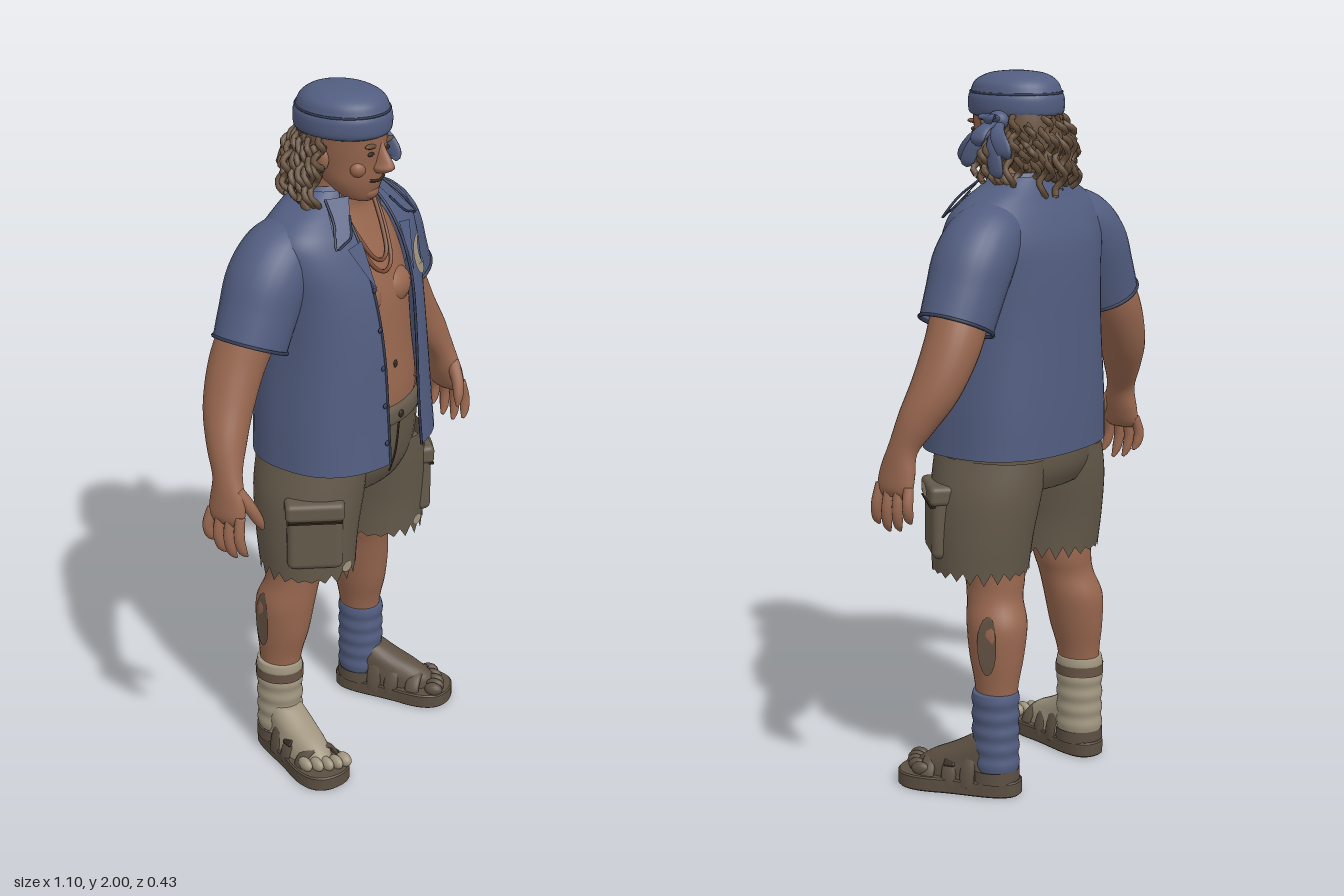
import * as THREE from 'three';
import { RoundedBoxGeometry } from 'three/addons/geometries/RoundedBoxGeometry.js';
import { mergeGeometries } from 'three/addons/utils/BufferGeometryUtils.js';

const V = (x, y, z) => new THREE.Vector3(x, y, z);
const mat = (name, color) => new THREE.MeshStandardMaterial({ name, color, side: THREE.DoubleSide });

// smooth interpolation of cross-sections [x, y, z, rx, rz, gap]
function resample(secs, sub = 5) {
  const out = [], at = i => secs[Math.max(0, Math.min(secs.length - 1, i))];
  for (let i = 0; i < secs.length - 1; i++) for (let k = 0; k < sub; k++) {
    const t = k / sub, [a, b, c, d] = [at(i - 1), at(i), at(i + 1), at(i + 2)];
    out.push(b.map((_, j) => b[j] + 0.5 * t * (c[j] - a[j] + t * (2 * a[j] - 5 * b[j] + 4 * c[j] - d[j] + t * (3 * (b[j] - c[j]) + d[j] - a[j])))));
  }
  out.push(secs[secs.length - 1].slice());
  return out;
}

// skin over cross-sections: level rings (listed upwards) or rings square to the path
function loft(secs, { n = 28, p = 1, sub = 5, level = true, cap = true, jag = 0 } = {}) {
  const rows = resample(secs, sub), pos = [], idx = [], open = secs[0].length > 5;
  const cols = open ? n + 1 : n, pw = v => Math.sign(v) * Math.abs(v) ** p;
  rows.forEach((r, i) => {
    const a = rows[Math.max(0, i - 1)], b = rows[Math.min(rows.length - 1, i + 1)];
    const t = level ? V(0, 1, 0) : V(b[0] - a[0], b[1] - a[1], b[2] - a[2]).normalize();
    const u = t.clone().cross(V(0, 0, 1)).normalize(), v = u.clone().cross(t);
    let t0 = 0, t1 = Math.PI * 2;
    if (open) { const g = Math.acos(Math.min(1, (r[5] / r[3]) ** (1 / p))); t0 = Math.PI - g; t1 += g; }
    for (let j = 0; j < cols; j++) {
      const th = t0 + (t1 - t0) * j / n, q = V(r[0], r[1], r[2]);
      q.addScaledVector(u, Math.max(0.001, r[3]) * pw(Math.cos(th))).addScaledVector(v, Math.max(0.001, r[4]) * pw(Math.sin(th)));
      if (jag && i === 0) q.y += jag * ((j % 2 ? -1 : 0.7) + 0.6 * Math.sin(j * 2.7));
      pos.push(q.x, q.y, q.z);
    }
  });
  const end = (rows.length - 1) * cols;
  for (let i = 0; i < rows.length - 1; i++) for (let j = 0; j < n; j++) {
    const a = i * cols + j, b = i * cols + (j + 1) % cols;
    idx.push(a, a + cols, b, b, a + cols, b + cols);
  }
  if (cap && !open) {
    const k = pos.length / 3, l = rows[rows.length - 1];
    pos.push(...rows[0].slice(0, 3), ...l.slice(0, 3));
    for (let j = 0; j < n; j++) { const m = (j + 1) % n; idx.push(k, j, m, k + 1, end + m, end + j); }
  }
  const g = new THREE.BufferGeometry();
  g.setAttribute('position', new THREE.Float32BufferAttribute(pos, 3));
  g.setIndex(idx);
  g.computeVertexNormals();
  return g;
}

// front surface depth of a level loft at (x, y)
function frontZ(secs, p, x, y) {
  const rows = resample(secs, 5);
  let i = 0;
  while (i < rows.length - 2 && rows[i + 1][1] < y) i++;
  const a = rows[i], b = rows[i + 1], t = (y - a[1]) / (b[1] - a[1]), m = k => a[k] + (b[k] - a[k]) * t;
  return m(2) + m(4) * Math.max(0, 1 - Math.min(1, Math.abs(x / m(3))) ** (2 / p)) ** (p / 2);
}

// flat outline laid onto a surface by a rule
function drape(pts, rule) {
  const g = new THREE.ShapeGeometry(new THREE.Shape(pts.map(q => new THREE.Vector2(q[0], q[1]))));
  const P = g.attributes.position;
  for (let i = 0; i < P.count; i++) { const q = rule(P.getX(i), P.getY(i)); P.setXYZ(i, q.x, q.y, q.z); }
  g.computeVertexNormals();
  return g;
}
const oval = (cx, cy, rx, ry) => Array.from({ length: 18 }, (_, i) => [cx + rx * Math.cos(i * Math.PI / 9), cy + ry * Math.sin(i * Math.PI / 9)]);
const tube = (pts, r, seg = 24) => new THREE.TubeGeometry(new THREE.CatmullRomCurve3(pts), seg, r, 6);

export function createModel() {
  const root = new THREE.Group();
  root.name = 'man';
  const skin = mat('skin', 0x98674f), blue = mat('blueCloth', 0x525d80), navy = mat('darkBlueSeam', 0x353c55),
    shorts = mat('shortsBrown', 0x655a4b), sandal = mat('sandalBrown', 0x5c4f42), beige = mat('beigeCloth', 0xa0957f),
    hair = mat('hairBrown', 0x654f3b), dark = mat('dark', 0x33281f), bead = mat('beadBrown', 0x7b4c34), scar = mat('calfMark', 0x665445);
  const add = (name, geo, m, parent = root) => {
    const o = new THREE.Mesh(geo, m);
    o.name = name;
    parent.add(o);
    return o;
  };
  const ball = (name, m, x, y, z, rx, ry, rz, parent) => {
    const o = add(name, new THREE.SphereGeometry(1, 18, 12), m, parent);
    o.position.set(x, y, z);
    o.scale.set(rx, ry, rz);
    return o;
  };
  let seed = 7;
  const rnd = () => (seed = (seed * 16807) % 2147483647) / 2147483647;

  // bare torso and neck
  const body = [[0, 1, -.01, .22, .175], [0, 1.13, -.01, .23, .19], [0, 1.28, -.015, .22, .18], [0, 1.42, -.02, .22, .168],
    [0, 1.52, -.03, .21, .148], [0, 1.6, -.035, .18, .115], [0, 1.66, -.03, .12, .085], [0, 1.7, -.02, .085, .075], [0, 1.8, -.01, .07, .075]];
  add('torso', loft(body, { n: 40 }), skin);
  for (const s of [1, -1]) ball('pectoral', skin, s * .068, 1.43, .095, .072, .06, .058);
  ball('navel', dark, 0, 1.235, frontZ(body, 1, 0, 1.235), .008, .012, .004);
  for (const [w, y] of [[.085, 1.5], [.07, 1.53]]) {
    const pts = [-1, -.93, -.75, -.4, 0, .4, .75, .93, 1].map(k => {
      const x = k * w, yy = y + (1.675 - y) * Math.abs(k) ** 2.6;
      return V(x, yy, frontZ(body, 1, x, yy) + .01);
    });
    add('necklace', tube(pts, .006, 40), bead);
  }

  // open shirt
  const shirt = [[0, .97, -.003, .277, .217, .075], [0, 1.1, -.008, .268, .212, .072], [0, 1.3, -.012, .25, .203, .075],
    [0, 1.45, -.02, .25, .19, .085], [0, 1.55, -.03, .265, .168, .088], [0, 1.62, -.035, .26, .138, .085],
    [0, 1.665, -.04, .215, .11, .08], [0, 1.7, -.045, .15, .09, .07], [0, 1.725, -.045, .11, .08, .06]];
  const P = .82, onShirt = (x, y) => V(x, y, frontZ(shirt, P, x, y) + .007);
  add('shirtBody', loft(shirt, { n: 56, p: P }), blue);
  add('collarBand', loft([[0, 1.675, -.045, .15, .1, .075], [0, 1.7, -.045, .125, .092, .07], [0, 1.735, -.045, .1, .08, .06]], { n: 32 }), blue);
  const rows = resample(shirt);
  for (const s of [1, -1]) {
    add('shirtFrontEdge', tube(rows.filter((_, i) => i % 3 === 0).map(r => V(s * r[5], r[1], frontZ(shirt, P, r[5], r[1]))), .004, 40), navy);
    add('collarFlap', drape([[s * .06, 1.71], [s * .12, 1.71], [s * .18, 1.605], [s * .125, 1.625]], (x, y) => onShirt(x, y).add(V(0, .004, .014))), blue);
    add('collarEdge', tube([[.12, 1.71], [.15, 1.66], [.18, 1.605], [.152, 1.615], [.125, 1.625], [.09, 1.67]].map(q => onShirt(s * q[0], q[1]).add(V(0, .004, .014))), .0035), navy);
    add('lapel', drape([[s * .085, 1.61], [s * .14, 1.6], [s * .085, 1.48]], (x, y) => onShirt(x, y).add(V(0, 0, .005))), blue);
    // sleeve
    const end = [s * .335, 1.352, -.066, .104, .1];
    add('sleeve', loft([[s * .13, 1.61, -.06, .06, .08], [s * .2, 1.575, -.062, .095, .105], [s * .26, 1.51, -.065, .108, .112],
      [s * .3, 1.43, -.066, .106, .106], end], { level: false, cap: false }), blue);
    const hem = add('sleeveHem', new THREE.TorusGeometry(.102, .005, 6, 32), navy);
    hem.position.set(end[0], end[1], end[2]);
    hem.rotation.set(Math.PI / 2, s * .48, 0, 'ZYX');
    hem.quaternion.setFromUnitVectors(V(0, 0, 1), V(s * .42, -.91, 0).normalize());
    // arm
    add('arm', loft([[s * .25, 1.52, -.065, .08, .08], [s * .325, 1.39, -.075, .078, .08], [s * .375, 1.3, -.082, .073, .078],
      [s * .428, 1.2, -.07, .064, .07], [s * .472, 1.115, -.042, .053, .054], [s * .5, 1.045, -.018, .036, .043],
      [s * .513, .98, -.008, .03, .056], [s * .522, .935, -.006, .024, .058], [s * .526, .915, -.006, .012, .045]], { level: false }), skin);
    // fingers and thumb
    for (let f = 0; f < 4; f++) {
      const z = .042 - f * .032, l = [.88, 1, .95, .75][f], x = .524;
      add('finger', loft([[s * x, .945, z, .014, .014], [s * (x + .012), .945 - .06 * l, z * 1.12, .015, .015],
        [s * (x + .006), .945 - .105 * l, z * 1.15 + .004, .013, .013], [s * (x - .008), .945 - .13 * l, z * 1.15 + .008, .004, .005]], { n: 12, level: false }), skin);
    }
    add('thumb', loft([[s * .508, 1.01, .02, .018, .02], [s * .49, .96, .052, .017, .018], [s * .474, .92, .066, .014, .014], [s * .464, .893, .07, .004, .004]], { n: 12, level: false }), skin);
  }
  // crescent patch and buttons
  const moon = [];
  for (let a = 50; a <= 310; a += 13) moon.push([.053 * Math.cos(a * Math.PI / 180), .053 * Math.sin(a * Math.PI / 180)]);
  for (let a = 285; a >= 75; a -= 15) moon.push([.027 + .041 * Math.cos(a * Math.PI / 180), .041 * Math.sin(a * Math.PI / 180)]);
  add('crescentPatch', drape(moon.map(([x, y]) => [.162 + x * .95 - y * .3, 1.5 + y * .95 + x * .3]), onShirt), beige);
  for (let y = 1.04; y < 1.5; y += .11) ball('button', navy, -.09, y, onShirt(-.09, y).z, .008, .008, .004);

  // shorts
  const hips = [[0, .865, -.02, .225, .15], [0, .92, -.02, .25, .178], [0, 1, -.015, .252, .19], [0, 1.11, -.008, .24, .192]];
  add('shortsHips', loft(hips, { n: 40 }), shorts);
  add('waistband', loft([[0, 1.065, -.008, .245, .196], [0, 1.08, -.008, .248, .199], [0, 1.105, -.008, .246, .197], [0, 1.118, -.008, .236, .187]], { n: 40, cap: false }), shorts);
  ball('waistButton', dark, 0, 1.09, .192, .011, .011, .005);
  add('fly', tube([1.06, 1, .95, .9].map(y => V(.004, y, frontZ(hips, 1, 0, y))), .0035), dark);
  for (const s of [1, -1]) {
    const leg = [[s * .165, .64, -.01, .132, .138], [s * .163, .74, -.014, .134, .15], [s * .148, .86, -.018, .138, .165], [s * .13, .96, -.018, .125, .172]];
    add('shortsLeg', loft(leg, { n: 44, jag: .014, cap: false }), shorts);
    const pocket = new THREE.Group();
    pocket.name = 'cargoPocket';
    pocket.position.set(s * .243, .775, .075);
    pocket.rotation.set(0, s * .85, 0);
    root.add(pocket);
    add('pocketBag', new RoundedBoxGeometry(.155, .19, .06, 3, .02), shorts, pocket);
    add('pocketFlap', new RoundedBoxGeometry(.165, .055, .075, 3, .015), shorts, pocket).position.y = .085;
    add('flapSeam', new THREE.BoxGeometry(.15, .005, .072), dark, pocket).position.y = .056;
    if (s > 0) add('pocketPatch', drape(oval(-.01, .088, .045, .02), (x, y) => V(x, y, .0395)), beige, pocket);
    add('hemPatch', drape(oval(s * .17, .665, .022, .016), (x, y) => V(x, y, -.01 + .141 * Math.sqrt(1 - ((x - s * .165) / .132) ** 2) + .004)), beige);

    // bare leg with calf mark
    const shin = [[s * .2, .14, -.09, .05, .055], [s * .195, .3, -.09, .055, .062], [s * .188, .4, -.085, .07, .08], [s * .18, .49, -.08, .08, .088],
      [s * .167, .56, -.063, .077, .08], [s * .157, .62, -.055, .084, .085], [s * .157, .74, -.035, .1, .1]];
    add('leg', loft(shin), skin);
    const outer = resample(shin);
    add('calfMark', drape(oval(-.105, .445, .028, .085), (z, y) => {
      const r = outer.reduce((m, q) => Math.abs(q[1] - y) < Math.abs(m[1] - y) ? q : m);
      return V(r[0] + s * (r[3] * Math.sqrt(Math.max(0, 1 - ((z - r[2]) / r[4]) ** 2)) + .006), y, z);
    }), scar);

    // sock with folds
    const cloth = s > 0 ? blue : beige, folds = [];
    for (let i = 0; i <= 10; i++) folds.push([s * .2, .07 + i * .023, -.09, .06 + (i % 2) * .004, .066 + (i % 2) * .004]);
    add('sock', loft(folds, { sub: 3 }), cloth);
    if (s < 0) add('sockStripe', loft([[-.2, .245, -.09, .066, .072], [-.2, .275, -.09, .066, .072]], { cap: false }), scar);

    // foot and sandal
    const foot = new THREE.Group();
    foot.name = 'foot';
    foot.position.set(s * .232, 0, .008);
    foot.rotation.y = s * .3;
    root.add(foot);
    const sole = new THREE.Shape();
    sole.moveTo(0, -.175);
    sole.bezierCurveTo(.075, -.175, .055, -.06, .07, .04);
    sole.bezierCurveTo(.09, .14, .06, .182, 0, .182);
    sole.bezierCurveTo(-.06, .182, -.09, .14, -.07, .04);
    sole.bezierCurveTo(-.055, -.06, -.075, -.175, 0, -.175);
    const sg = new THREE.ExtrudeGeometry(sole, { depth: .036, bevelEnabled: true, bevelThickness: .004, bevelSize: .004, bevelSegments: 1, curveSegments: 14 });
    add('sole', sg.rotateX(Math.PI / 2).translate(0, .04, 0), sandal, foot);
    add('footTop', loft([[0, .035, -.01, .062, .15], [0, .07, -.015, .06, .145], [0, .1, -.03, .055, .12], [0, .13, -.06, .052, .085], [0, .16, -.085, .045, .055]]), s > 0 ? sandal : beige, foot);
    for (let k = 0; k < 5; k++) ball('toe', s > 0 ? sandal : beige, s * (k * .026 - .05), .058, .148 - k * k * .0028, k ? .015 : .019, .02, .028, foot);
    for (const [z, r, h] of [[.082, .066, .088], [.015, .066, .113], [-.04, .064, .138]]) {
      const strap = add('strap', new THREE.TorusGeometry(1, .11, 8, 24, Math.PI), sandal, foot);
      strap.scale.set(r, h - .025, .2);
      strap.position.set(0, .025, z);
    }
    const buckle = add('buckle', new RoundedBoxGeometry(.035, .02, .034, 2, .005), dark, foot);
    buckle.position.set(s * .045, .088, .015);
    buckle.rotation.z = -s * .8;
    add('heelStrap', loft([[0, .04, -.1, .068, .072], [0, .075, -.1, .067, .071]], { cap: false }), sandal, foot);
  }

  // head and face
  const hx = -.008;
  const head = [[hx, 1.695, .06, .025, .03], [hx, 1.71, .045, .052, .055], [hx, 1.75, .025, .075, .088], [hx, 1.8, .012, .083, .108],
    [hx, 1.86, .003, .09, .125], [hx, 1.91, 0, .09, .125], [hx, 1.96, 0, .06, .08]];
  add('head', loft(head), skin);
  const faceZ = (x, y) => frontZ(head.map(r => [0, ...r.slice(1)]), 1, x, y);
  add('nose', loft([[hx, 1.782, .122, .016, .02], [hx, 1.795, .128, .024, .035], [hx, 1.812, .126, .018, .034], [hx, 1.845, .118, .012, .02], [hx, 1.87, .113, .01, .014]], { n: 16 }), skin);
  ball('chin', skin, hx, 1.722, .083, .032, .024, .026);
  for (const s of [1, -1]) {
    ball('cheek', skin, hx + s * .046, 1.795, .082, .026, .024, .022);
    ball('ear', skin, hx + s * .09, 1.815, -.005, .014, .032, .022);
    ball('eye', dark, hx + s * .035, 1.838, faceZ(.035, 1.838), .014, .006, .005);
    ball('brow', hair, hx + s * .037, 1.86, faceZ(.037, 1.86), .024, .007, .009).rotation.z = s * .1;
  }
  add('mouth', tube([-.03, 0, .03].map(x => V(hx + x, 1.757 + Math.abs(x) * .15, faceZ(x, 1.757) + .003)), .004), dark);

  // knotted headscarf
  add('headscarf', loft([[-.012, 1.878, 0, .1, .122], [-.012, 1.89, 0, .118, .137], [-.012, 1.925, 0, .12, .139], [-.012, 1.945, 0, .113, .132],
    [-.012, 1.972, 0, .102, .118], [-.012, 1.992, -.003, .07, .082], [-.012, 2, -.005, .02, .025]], { n: 36 }), blue);
  const fold = add('scarfFold', new THREE.TorusGeometry(1, .03, 6, 40), navy);
  fold.scale.set(.113, .132, .12);
  fold.rotation.order = 'YXZ';
  fold.rotation.x = Math.PI / 2;
  fold.position.set(-.012, 1.943, 0);
  ball('scarfKnot', blue, .108, 1.875, -.03, .026, .026, .032);
  for (const [x, y, z] of [[.18, 1.89, -.05], [.185, 1.83, -.02], [.165, 1.77, .03], [.155, 1.745, -.06], [.17, 1.8, -.1], [.14, 1.78, .06]])
    add('scarfTail', loft([[.1, 1.875, -.03, .012, .012], [(x + .12) / 2 + .01, (y + 1.885) / 2, (z - .03) / 2, .009, .022], [x, y, z, .007, .024], [x - .006, y - .018, z, .003, .01]], { n: 10, level: false }), blue);

  // curly hair around the sides and back
  add('hairBase', loft([[hx, 1.73, -.075, .075, .065], [hx, 1.78, -.06, .098, .085], [hx, 1.85, -.045, .105, .095], [hx, 1.9, -.04, .1, .09]]), hair);
  const locks = [];
  for (let i = 0; i < 46; i++) {
    const a = Math.PI * (.93 + 1.14 * i / 45), pts = [], len = .1 + .09 * rnd(), ph = rnd() * 6.3, fl = .025 + .03 * rnd(), top = 1.895 - .05 * rnd();
    for (let k = 0; k <= 9; k++) {
      const t = k / 9, r = .096 + fl * Math.sin(t * 2.3), w = .013 * Math.sin(ph + k * 1.5), c = .011 * Math.cos(ph + k * 1.5);
      pts.push(V(hx + (r + w + .012) * Math.cos(a) - c * Math.sin(a), top - len * t, -.012 + (r + w + .012) * Math.sin(a) + c * Math.cos(a)));
    }
    locks.push(tube(pts, .009, 22));
  }
  add('curls', mergeGeometries(locks), hair);
  return root;
}
